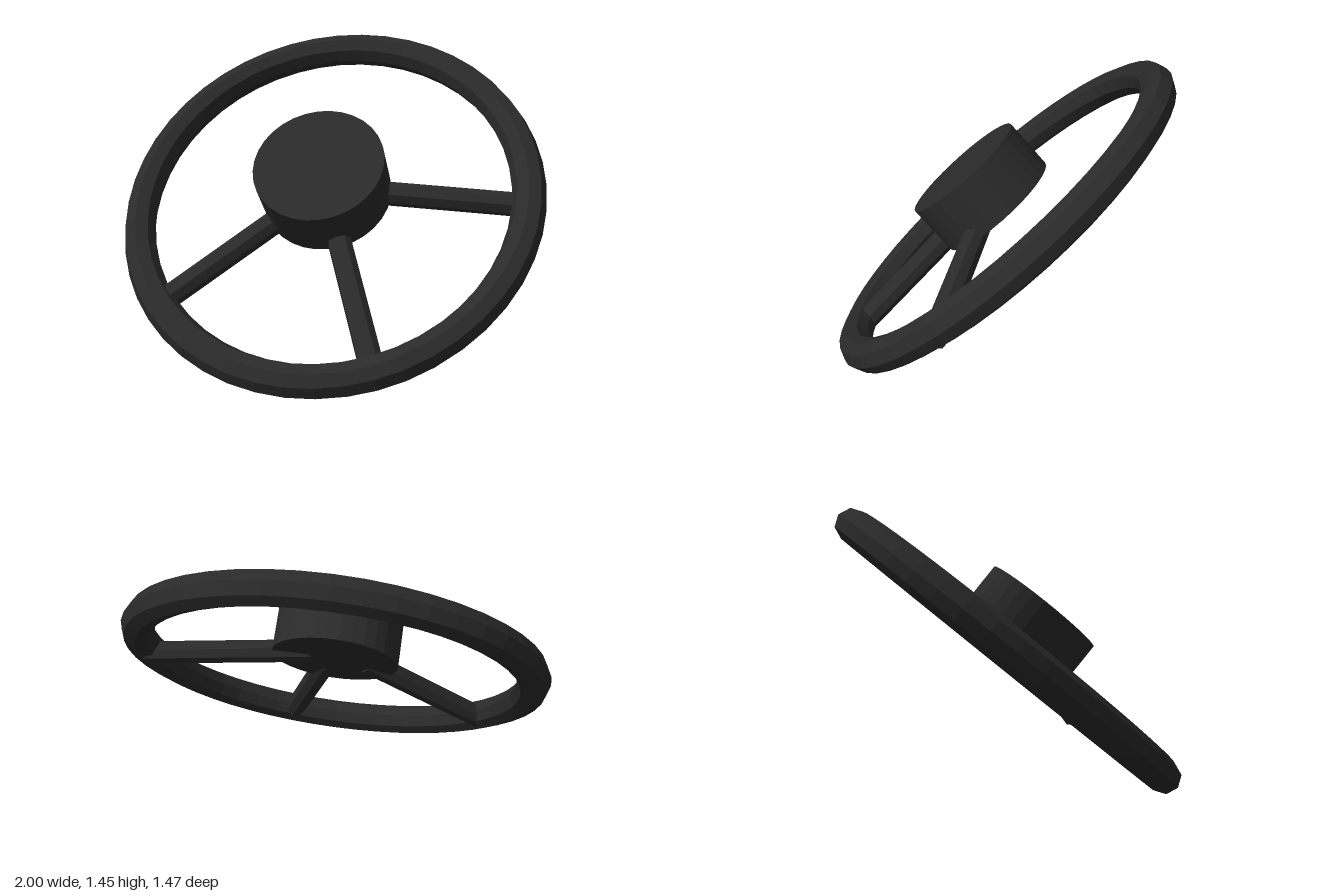
import * as THREE from 'three';

export function createModel() {
  const model = new THREE.Group();
  const black = new THREE.MeshStandardMaterial({ color: 0x2a2a2a, flatShading: true });
  black.name = 'matte black';

  // The wheel is built facing +z, then tilted back
  const wheel = new THREE.Group();
  wheel.name = 'wheel';
  wheel.position.y = 0.7225;
  wheel.rotation.x = -THREE.MathUtils.degToRad(45.6);
  model.add(wheel);

  const add = (name, geometry) => {
    const mesh = new THREE.Mesh(geometry, black);
    mesh.name = name;
    wheel.add(mesh);
    return mesh;
  };

  // Eight-sided grip ring
  add('rim', new THREE.TorusGeometry(0.923, 0.077, 8, 48));

  // Thick centre boss standing proud of the rim
  const hub = add('hub', new THREE.CylinderGeometry(0.3, 0.3, 0.245, 32));
  hub.rotation.x = Math.PI / 2;
  hub.position.z = 0.1495;

  // Spokes sloping from the hub back to the rim: name, angle, inner radius, depth
  const up = new THREE.Vector3(0, 1, 0);
  const spokes = [
    ['leftSpoke', 2.5, 0.12, 0.075],
    ['lowerSpoke', -67.5, 0.18, 0.097],
    ['rightSpoke', -138, 0.18, 0.092],
  ];
  for (const [name, degrees, inner, depth] of spokes) {
    const angle = THREE.MathUtils.degToRad(degrees);
    const at = (r) => new THREE.Vector3(r * Math.cos(angle), r * Math.sin(angle), depth - 0.12 * r);
    const a = at(inner), b = at(0.92);
    const spoke = add(name, new THREE.CylinderGeometry(0.055, 0.055, a.distanceTo(b), 8));
    spoke.position.copy(a).lerp(b, 0.5);
    spoke.quaternion.setFromUnitVectors(up, b.sub(a).normalize());
  }
  return model;
}
